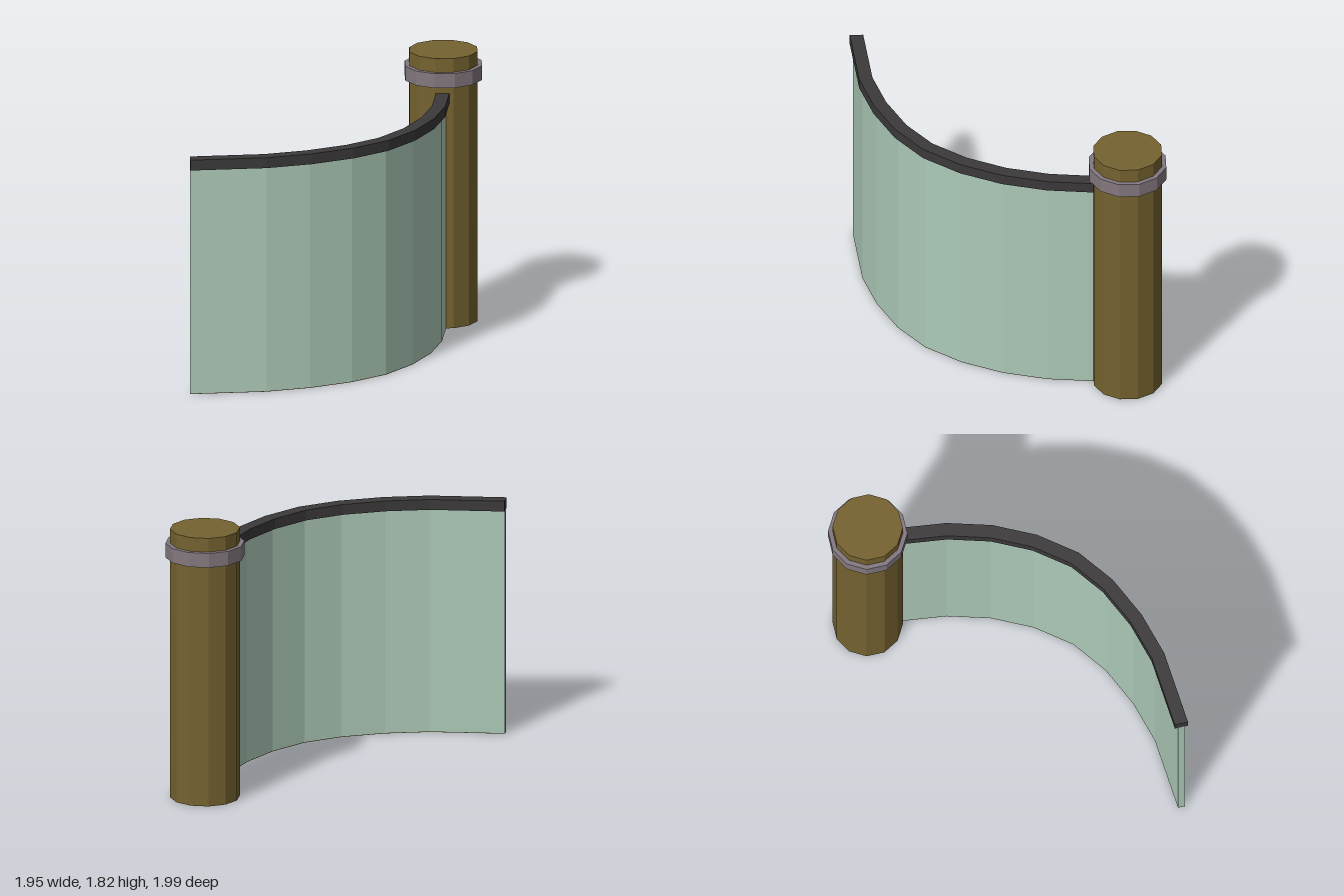
import * as THREE from 'three';

// Centre line of the curved wall in plan, as [x, z]
const PATH = [
  [-0.975, 0.947], [-0.484, 0.905], [-0.2, 0.825], [0.07, 0.7], [0.293, 0.534],
  [0.468, 0.307], [0.595, 0.048], [0.675, -0.233], [0.71, -0.53],
].map(([x, z]) => new THREE.Vector2(x, -z));

const material = (color) => new THREE.MeshStandardMaterial({ color, flatShading: true });

// Mitred sideways offset of the centre line
function offsetLine(d) {
  return PATH.map((p, i) => {
    const before = p.clone().sub(PATH[Math.max(i - 1, 0)]).normalize();
    const after = PATH[Math.min(i + 1, PATH.length - 1)].clone().sub(p).normalize();
    const dir = before.clone().add(after).normalize();
    const cosHalf = i > 0 && i < PATH.length - 1 ? dir.dot(before) : 1;
    // the free end is cut square to x
    if (i === 0) return new THREE.Vector2(p.x, p.y + d);
    return new THREE.Vector2(p.x - dir.y * d / cosHalf, p.y + dir.x * d / cosHalf);
  });
}

// Upright band of given thickness that follows the centre line
function band(name, thickness, y0, y1, color) {
  const outline = [...offsetLine(-thickness / 2), ...offsetLine(thickness / 2).reverse()];
  const geometry = new THREE.ExtrudeGeometry(new THREE.Shape(outline), { depth: y1 - y0, bevelEnabled: false });
  geometry.rotateX(-Math.PI / 2).translate(0, y0, 0);
  const mesh = new THREE.Mesh(geometry, material(color));
  mesh.name = name;
  return mesh;
}

// Twelve-sided upright cylinder at the post position
function column(name, radius, y0, y1, color) {
  const geometry = new THREE.CylinderGeometry(radius, radius, y1 - y0, 12, 1, false, Math.PI / 12);
  const mesh = new THREE.Mesh(geometry, material(color));
  mesh.position.set(0.722, (y0 + y1) / 2, -0.748);
  mesh.name = name;
  return mesh;
}

export function createModel() {
  const group = new THREE.Group();
  group.name = 'curvedWallWithPost';
  group.add(
    band('wallFoot', 0.045, 0, 0.004, 0x75622f),
    band('wall', 0.045, 0.004, 1.52, 0xaccab8),
    band('topRail', 0.088, 1.515, 1.585, 0x3b393a),
    column('post', 0.228, 0, 1.82, 0x75622f),
    column('postCollar', 0.258, 1.63, 1.727, 0x83787f),
  );
  return group;
}
